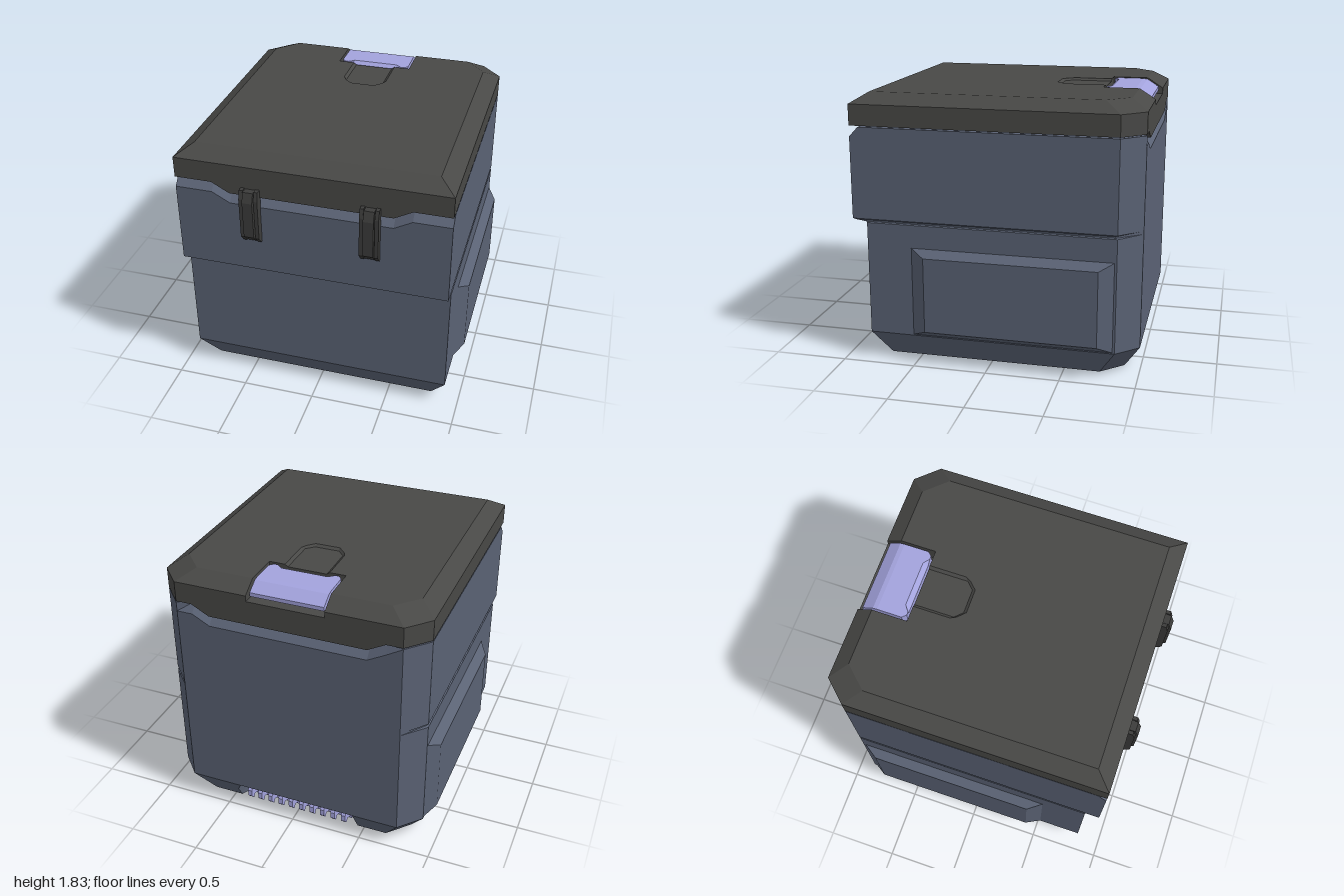
import * as THREE from 'three';

const mat = (color, flatShading = true) => new THREE.MeshStandardMaterial({ color, flatShading });
const BODY = mat(0x5a6274), LID = mat(0x484846), LATCH = mat(0x3c3c3b), LILAC = mat(0xa3a3dd);

function add(parent, name, geometry, material, x = 0, y = 0, z = 0) {
  const mesh = new THREE.Mesh(geometry, material);
  mesh.name = name;
  mesh.position.set(x, y, z);
  parent.add(mesh);
  return mesh;
}

// Solid from closed sections running from -x to +x; each goes front bottom, top, back bottom.
function loft(cols) {
  const out = [], n = cols[0].length;
  const A = new THREE.Vector3(), B = new THREE.Vector3(), C = new THREE.Vector3();
  const tri = (a, b, c) => {
    A.set(...a); B.set(...b).sub(A); C.set(...c).sub(A);
    if (B.cross(C).length() > 1e-8) out.push(...a, ...b, ...c);
  };
  const quad = (a, b, c, d) => { tri(a, b, c); tri(a, c, d); };
  for (let i = 0; i + 1 < cols.length; i++) {
    for (let k = 0; k < n; k++) {
      const m = (k + 1) % n;
      quad(cols[i][k], cols[i + 1][k], cols[i + 1][m], cols[i][m]);
    }
  }
  const s = cols[0], e = cols[cols.length - 1];
  for (let k = 0; k < n / 2 - 1; k++) {
    const q = n - 1 - k;
    quad(e[k], e[q], e[q - 1], e[k + 1]);
    quad(s[k], s[k + 1], s[q - 1], s[q]);
  }
  const g = new THREE.BufferGeometry();
  g.setAttribute('position', new THREE.Float32BufferAttribute(out, 3));
  g.computeVertexNormals();
  return g;
}

// Mirrors sections given for x > 0 (outermost first) onto both sides.
function mirrored(half) {
  const left = half.map(col => col.map(([x, y, z]) => [-x, y, z]));
  return [...left, ...half.slice().reverse()];
}

// Extrudes a [z, y] profile across x, centred on x = 0.
function extrudeX(profile, width) {
  const shape = new THREE.Shape(profile.map(p => new THREE.Vector2(...p)));
  const g = new THREE.ExtrudeGeometry(shape, { depth: width, bevelEnabled: false });
  return g.rotateY(-Math.PI / 2).translate(width / 2, 0, 0);
}

const INSET = 0.11;
const inset = x => (x >= 0.77 ? x - INSET : x === 0.66 ? 0.6 : x === 0.54 ? 0.5 : x);
const backZ = x => (x > 0.9 ? -0.85 : -1);
const seamY = x => (x >= 0.66 ? 1.61 : 1.545); // seam dips in the middle

// Hull: tapered foot, lower box, groove, wider upper box, bevelled rim
function bodyColumn(x) {
  const b = backZ(x), xi = inset(x), h = seamY(x);
  const xg = x > 0.9 ? x - 0.012 : x, bg = x > 0.9 ? b + 0.012 : b;
  const rim = x < 0.7 ? 0.06 : 0;
  const xm = (x + xi) / 2, vent = x === 0.4;
  const front = [
    [xi, 0, 0.72], [xm, 0.0925, 0.775], [x, 0.185, 0.83], [x, 0.965, 0.83],
    [xg, 0.97, 0.84], [xg, 0.98, 0.91], [x, 0.99, 0.93], [x, h - 0.065, 0.93], [x, h, 0.87],
  ];
  const back = [
    [xi, 0, vent ? -0.79 : b + INSET],
    vent ? [x, 0.165, -0.83] : [xm, 0.0925, b + INSET / 2],
    [x, 0.185, b], [x, 0.965, b], [xg, 0.97, bg], [xg, 0.98, bg], [x, 0.99, b],
    [x, h - 0.065, b], [x, h, b + rim],
  ];
  return [...front, ...back.reverse()];
}

// Lid: bevelled slab with a handle notch at the back and a shallow finger tray
function lidColumn([x, kind, trayEnd]) {
  const b = backZ(x), xi = inset(x), top = 1.83, h = seamY(x) + 0.008;
  const ft = [xi, top, 0.82], bt = [xi, top, b + INSET];
  const front = [[x, h, 0.93], [x, 1.76, 0.93], ft, ft, ft, ft];
  if (kind === 'plain') return [...front, bt, bt, bt, bt, [x, 1.76, b], [x, h, b]];
  const z = -0.645, floor = x < 0.15 ? top - 0.015 : top;
  const end = trayEnd ?? z, foot = x < 0.15 ? end - 0.02 : end;
  return [...front, [x, top, end], [x, floor, foot], [x, floor, z], [x, 1.72, z], [x, 1.72, b], [x, h, b]];
}

function makeHandle() {
  const handle = new THREE.Group();
  handle.name = 'lidHandle';
  // flat plate: [x, front z at bottom, front z at top]
  const half = [[0.25, -0.69, -0.69], [0.225, -0.662, -0.662], [0.2, -0.662, -0.662], [0.16, -0.662, -0.695]];
  const plate = half.map(([x, zl, zt]) => [[x, 1.74, zl], [x, 1.8, zl], [x, 1.827, zt], [x, 1.827, -0.86], [x, 1.8, -0.86], [x, 1.74, -0.86]]);
  add(handle, 'handlePlate', loft(mirrored(plate)), LILAC);
  add(handle, 'handleBackSlope', extrudeX([[-0.86, 1.74], [-0.86, 1.827], [-0.89, 1.822], [-0.97, 1.772], [-0.97, 1.745]].reverse(), 0.5), LILAC);
  return handle;
}

function makeLatch(side) {
  const latch = new THREE.Group();
  latch.name = side > 0 ? 'leftLatch' : 'rightLatch';
  latch.position.x = side * 0.395;
  // side rails, raised centre bar and foot
  const rail = [[0.92, 1.225], [0.945, 1.225], [0.982, 1.27], [0.982, 1.55], [0.965, 1.61], [0.92, 1.61]];
  for (const s of [-1, 1]) add(latch, 'latchRail', extrudeX(rail, 0.025), LATCH, s * 0.05);
  add(latch, 'latchBack', extrudeX([[0.92, 1.23], [0.95, 1.24], [0.97, 1.29], [0.97, 1.55], [0.955, 1.6], [0.92, 1.6]], 0.08), LATCH);
  add(latch, 'latchBar', extrudeX([[0.93, 1.23], [0.945, 1.23], [1, 1.285], [1, 1.54], [0.975, 1.605], [0.93, 1.605]], 0.068), LATCH);
  return latch;
}

export function createModel() {
  const model = new THREE.Group();
  model.name = 'coolBox';

  add(model, 'body', loft(mirrored([0.91, 0.77, 0.66, 0.54, 0.45, 0.4].map(bodyColumn))), BODY);

  const lidHalf = [
    [0.91, 'plain'], [0.77, 'plain'], [0.66, 'plain'], [0.54, 'plain'], [0.265, 'plain'],
    [0.265, 'notch'], [0.155, 'notch', -0.39], [0.135, 'notch', -0.35], [0.085, 'notch', -0.3],
  ];
  add(model, 'lid', loft(mirrored(lidHalf.map(lidColumn))), LID);
  model.add(makeHandle());

  // raised side panels with sloped borders
  const panel = (x, y0, y1, zf, zb) => [[x, y0, zf], [x, y1, zf], [x, y1, zb], [x, y0, zb]];
  const inner = panel(0.9, 0.185, 0.815, 0.54, -0.85);
  const outer = panel(0.972, 0.24, 0.76, 0.425, -0.74);
  const flip = col => col.map(([x, y, z]) => [-x, y, z]);
  add(model, 'leftSidePanel', loft([inner, outer]), BODY);
  add(model, 'rightSidePanel', loft([flip(outer), flip(inner)]), BODY);

  for (const s of [-1, 1]) model.add(makeLatch(s));

  // comb of fins in the rear vent
  const vent = new THREE.Group();
  vent.name = 'rearVent';
  const fin = [[-0.8, 0.02], [-0.82, 0.165], [-0.9, 0.16], [-0.94, 0.1], [-0.942, 0.055], [-0.91, 0.02], [-0.89, 0.045], [-0.86, 0.03]];
  const finGeometry = extrudeX(fin.reverse(), 0.03);
  for (let i = 0; i < 10; i++) add(vent, 'ventFin', finGeometry, LILAC, -0.36 + i * 0.08);
  add(vent, 'ventBacking', extrudeX([[-0.79, 0.01], [-0.845, 0.01], [-0.855, 0.15], [-0.82, 0.16]].reverse(), 0.78), LILAC);
  model.add(vent);

  return model;
}
